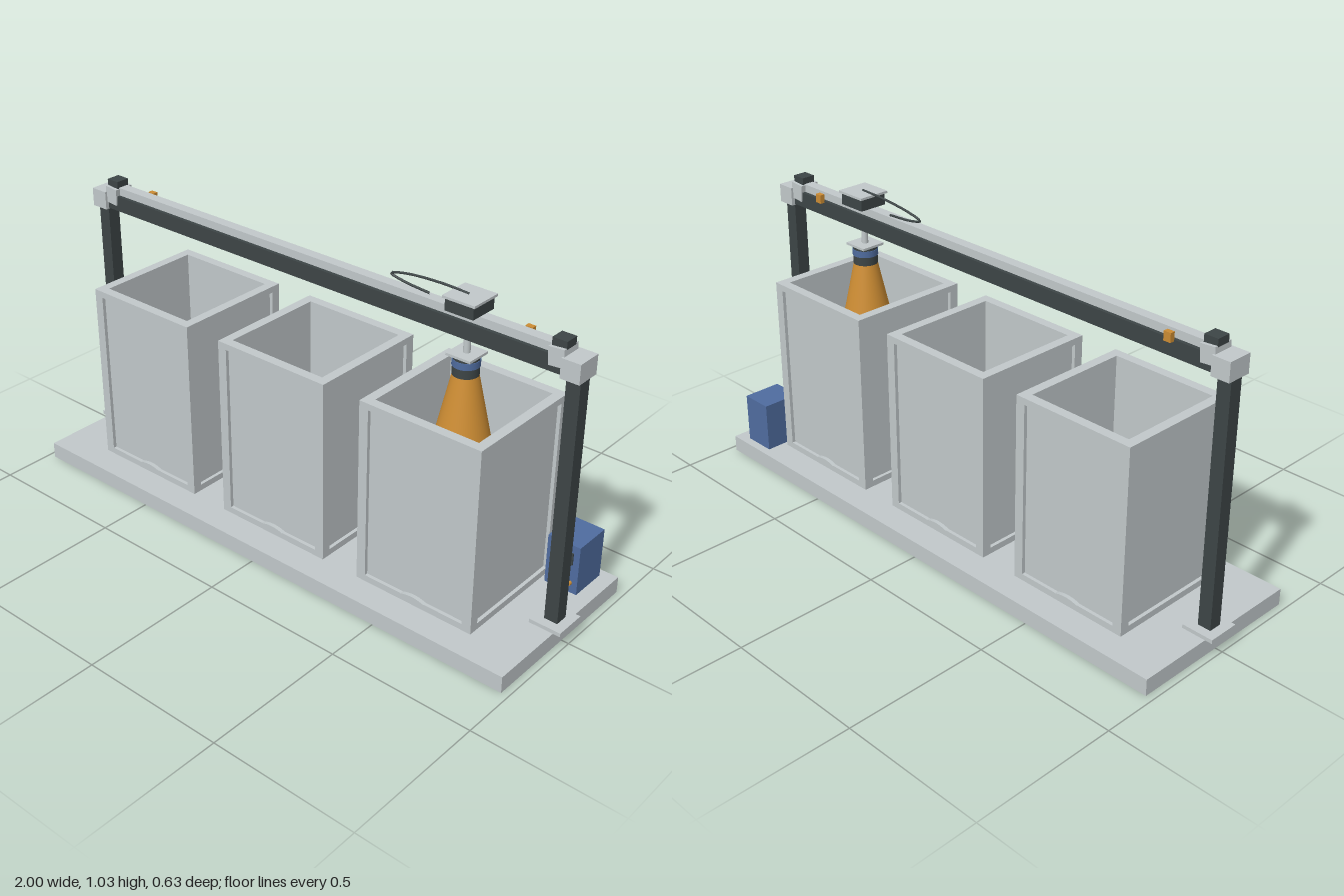
import * as THREE from 'three';

const mat = (name, color, side = THREE.FrontSide) => {
  const m = new THREE.MeshStandardMaterial({ color, side });
  m.name = name;
  return m;
};

export function createModel() {
  const grey = mat('light grey', 0xc1c8ca);
  const dark = mat('charcoal', 0x3d4546);
  const blue = mat('blue', 0x4f6c9f);
  const orange = mat('amber', 0xcc8c33, THREE.DoubleSide);
  const root = new THREE.Group();
  root.name = 'gantryStation';

  const add = (parent, name, geo, m, x = 0, y = 0, z = 0) => {
    const mesh = new THREE.Mesh(geo, m);
    mesh.name = name;
    mesh.position.set(x, y, z);
    parent.add(mesh);
    return mesh;
  };
  // box given by its x, y and z ranges
  const box = (parent, name, m, x0, x1, y0, y1, z0, z1) =>
    add(parent, name, new THREE.BoxGeometry(x1 - x0, y1 - y0, z1 - z0), m,
      (x0 + x1) / 2, (y0 + y1) / 2, (z0 + z1) / 2);
  // upright cylinder between two heights
  const cyl = (parent, name, m, r, y0, y1, x, z = 0) =>
    add(parent, name, new THREE.CylinderGeometry(r, r, y1 - y0, 40), m, x, (y0 + y1) / 2, z);

  box(root, 'basePlate', grey, -0.975, 0.975, 0, 0.057, -0.315, 0.315);

  // three open bins with framed, recessed panels
  const W = 0.218, P = 0.033, B = 0.057, T = 0.69, R = 0.022;
  for (const x of [-0.575, 0, 0.575]) {
    const bin = new THREE.Group();
    bin.name = 'bin';
    bin.position.x = x;
    root.add(bin);
    box(bin, 'binFloor', dark, -0.2, 0.2, B, B + 0.015, -0.2, 0.2);
    for (let i = 0; i < 4; i++) {
      const side = new THREE.Group();
      side.name = 'binSide';
      side.rotation.y = i * Math.PI / 2;
      bin.add(side);
      box(side, 'cornerPost', grey, W - P, W, B, T, W - P, W);
      box(side, 'topRail', grey, P - W, W - P, T - R, T, W - P, W);
      box(side, 'bottomRail', grey, P - W, W - P, B, B + R, W - P, W);
      box(side, 'panel', grey, P - W, W - P, B + R, T - R, W - P, W - 0.012);
      // low arched pull on the front and back
      if (i % 2 === 0) {
        const s = new THREE.Shape();
        s.moveTo(-0.045, 0);
        s.quadraticCurveTo(0, 0.016, 0.045, 0);
        add(side, 'pullLip', new THREE.ExtrudeGeometry(s,
          { depth: 0.014, bevelEnabled: false, curveSegments: 10 }), grey, 0, B + R, W - 0.012);
      }
    }
  }

  // posts, feet and corner brackets, mirrored
  for (const s of [-1, 1]) {
    const end = new THREE.Group();
    end.name = s > 0 ? 'leftEnd' : 'rightEnd';
    root.add(end);
    const b = (name, m, x0, x1, ...r) => box(end, name, m, Math.min(s * x0, s * x1), Math.max(s * x0, s * x1), ...r);
    b('footPlate', grey, 0.89, 1, 0.057, 0.07, -0.055, 0.055);
    b('post', dark, 0.922, 0.968, 0.07, 0.9, -0.023, 0.023);
    b('cornerBracket', grey, 0.912, 0.975, 0.89, 0.953, -0.043, 0.043);
    const clamp = b('railClamp', grey, 0.866, 0.918, 0.915, 0.972, -0.035, 0.035);
    clamp.rotation.z = s * 0.08;
    b('endMotor', dark, 0.868, 0.916, 0.97, 0.995, -0.024, 0.024);
    b('limitSwitch', orange, 0.747, 0.772, 0.94, 0.97, -0.045, -0.028);
  }

  // cross beam and running rail
  box(root, 'beam', dark, -0.915, 0.915, 0.893, 0.946, -0.03, 0.03);
  box(root, 'rail', grey, -0.875, 0.875, 0.946, 0.973, -0.018, 0.018);

  // carriage with its hanging tool
  const X = 0.575;
  const carriage = new THREE.Group();
  carriage.name = 'carriage';
  root.add(carriage);
  box(carriage, 'carriageBody', dark, X - 0.05, X + 0.05, 0.973, 1.013, -0.05, 0.05);
  box(carriage, 'carriagePlate', grey, X - 0.057, X + 0.057, 1.013, 1.021, -0.056, 0.056);
  cyl(carriage, 'rod', grey, 0.011, 0.838, 0.9, X);
  box(carriage, 'toolFlange', grey, X - 0.044, X + 0.044, 0.83, 0.838, -0.044, 0.044);
  cyl(carriage, 'upperCollar', dark, 0.041, 0.82, 0.83, X);
  cyl(carriage, 'blueBand', blue, 0.043, 0.798, 0.82, X);
  cyl(carriage, 'lowerCollar', dark, 0.041, 0.768, 0.798, X);
  add(carriage, 'cone', new THREE.CylinderGeometry(0.04, 0.182, 0.66, 64, 1, true), orange, X, 0.44, 0);

  // looped cable
  const path = new THREE.CatmullRomCurve3([
    [X, 1.022, 0], [0.47, 1.022, -0.006], [0.34, 1.011, -0.01], [0.283, 0.996, -0.01],
    [0.33, 0.984, -0.01], [0.43, 0.976, -0.008]
  ].map(p => new THREE.Vector3(...p)));
  add(carriage, 'cable', new THREE.TubeGeometry(path, 48, 0.004, 8), dark);

  // control box with screen and knobs
  const control = new THREE.Group();
  control.name = 'controlBox';
  root.add(control);
  box(control, 'controlCase', blue, 0.81, 0.925, 0.057, 0.23, -0.286, -0.15);
  box(control, 'screen', dark, 0.833, 0.904, 0.16, 0.202, -0.15, -0.146);
  [[0.836, grey], [0.868, dark], [0.9, orange]].forEach(([x, m]) => {
    const knob = add(control, 'knob', new THREE.CylinderGeometry(0.007, 0.007, 0.01, 20), m, x, 0.093, -0.145);
    knob.rotation.x = Math.PI / 2;
  });

  return root;
}
